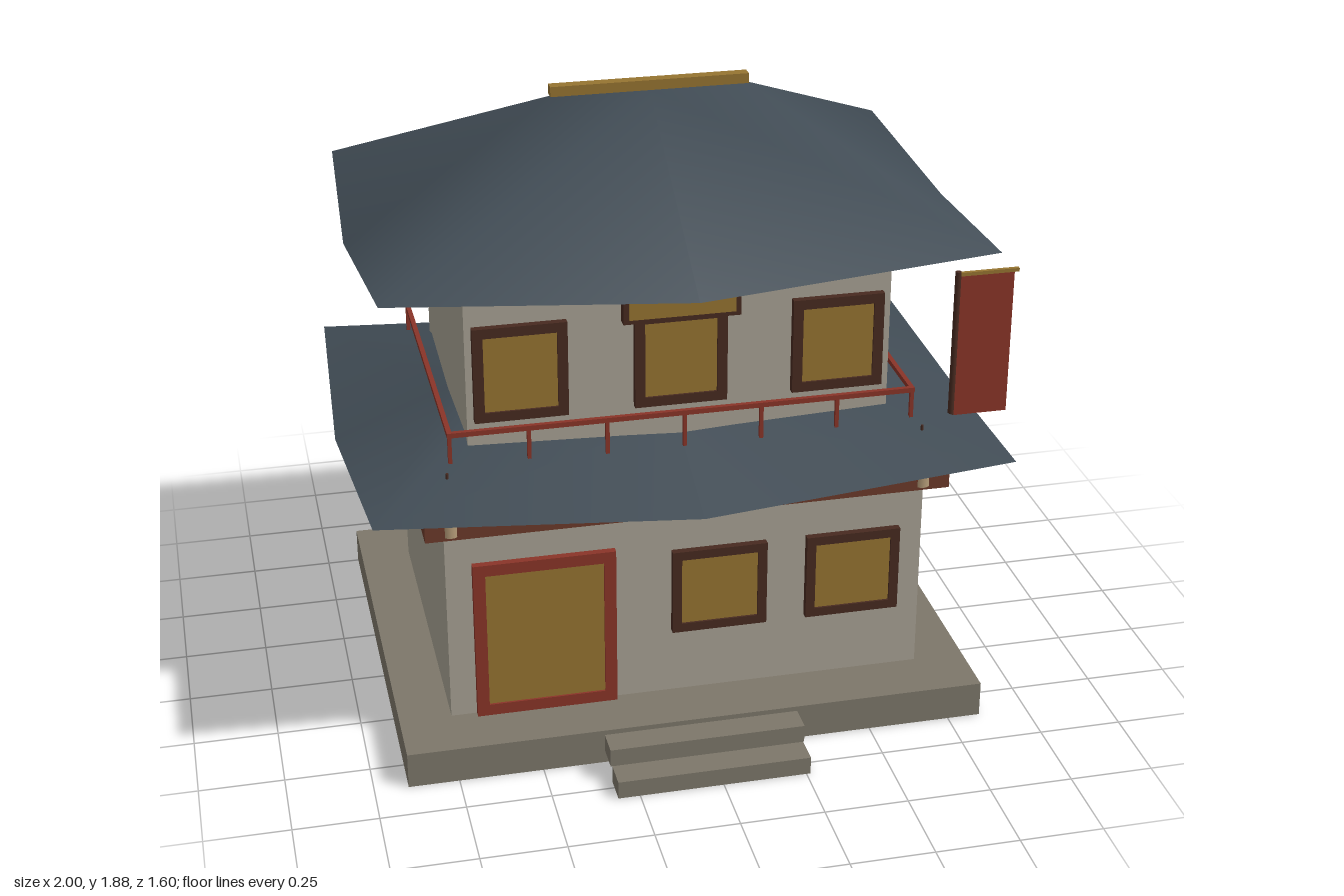
import * as THREE from 'three';
import { mergeVertices } from 'three/addons/utils/BufferGeometryUtils.js';

const CX = -0.027, CZ = -0.07; // centre of the house plan

const mat = (color, side = THREE.FrontSide) => new THREE.MeshStandardMaterial({ color, side });
const M = {
  wall: mat(0xa8a294), stone: mat(0x7d776a), beam: mat(0x6b3a2a), wood: mat(0x472a20),
  red: mat(0x8a3428), gold: mat(0x967431), tan: mat(0xb59c78),
  roof: mat(0x414c55, THREE.DoubleSide),
};

export function createModel() {
  const model = new THREE.Group();
  model.name = 'house';

  // Box given by its extents
  const box = (name, m, x0, x1, y0, y1, z0, z1, parent = model) => {
    const mesh = new THREE.Mesh(new THREE.BoxGeometry(x1 - x0, y1 - y0, z1 - z0), m);
    mesh.position.set((x0 + x1) / 2, (y0 + y1) / 2, (z0 + z1) / 2);
    mesh.name = name;
    parent.add(mesh);
    return mesh;
  };
  const cyl = (name, m, rTop, rBottom, x, y0, y1, z, parent = model) => {
    const mesh = new THREE.Mesh(new THREE.CylinderGeometry(rTop, rBottom, y1 - y0, 16), m);
    mesh.position.set(x, (y0 + y1) / 2, z);
    mesh.name = name;
    parent.add(mesh);
  };

  // Four bars around a recessed panel, standing on a front wall at z
  const framed = (name, m, x0, x1, y0, y1, z, w, depth = 0.022) => {
    const g = new THREE.Group();
    g.name = name;
    box('panel', M.gold, x0 + w, x1 - w, y0 + w, y1 - w, z - 0.005, z + depth * 0.7, g);
    for (const [a, b] of [[x0, x0 + w], [x1 - w, x1]]) box('frameSide', m, a, b, y0, y1, z - 0.005, z + depth, g);
    for (const [a, b] of [[y0, y0 + w], [y1 - w, y1]]) box('frameBar', m, x0 + w, x1 - w, a, b, z - 0.005, z + depth, g);
    model.add(g);
  };

  // Ring of corners and side middles around the plan centre
  const ring = (hx, hz, yCorner, yMid, bulgeX, bulgeZ) =>
    [[-1, 1], [0, 1], [1, 1], [1, 0], [1, -1], [0, -1], [-1, -1], [-1, 0]].map(([sx, sz]) => [
      CX + sx * (hx + (sz === 0 ? bulgeX : 0)),
      sx && sz ? yCorner : yMid,
      CZ + sz * (hz + (sx === 0 ? bulgeZ : 0)),
    ]);

  // Thin hipped roof skin whose eave lifts at the corners
  const roof = (name, eave, top) => {
    const pos = [];
    for (let i = 0; i < 8; i++) {
      const j = (i + 1) % 8, a = eave[i], b = eave[j], c = top[j], d = top[i];
      // the diagonal always starts at the eave corner
      const tris = i % 2 === 0 ? [a, b, c, a, c, d] : [a, b, d, b, c, d];
      for (let k = 0; k < 6; k += 3) {
        const t = tris.slice(k, k + 3).map((p) => new THREE.Vector3(...p));
        if (new THREE.Triangle(...t).getArea() > 1e-6) t.forEach((v) => pos.push(v.x, v.y, v.z));
      }
    }
    let geo = new THREE.BufferGeometry();
    geo.setAttribute('position', new THREE.Float32BufferAttribute(pos, 3));
    geo = mergeVertices(geo);
    geo.computeVertexNormals();
    const mesh = new THREE.Mesh(geo, M.roof);
    mesh.name = name;
    model.add(mesh);
  };

  // Plinth and steps
  box('plinth', M.stone, -0.9, 0.85, 0, 0.11, -0.755, 0.615);
  box('lowerStep', M.stone, -0.315, 0.262, 0, 0.055, 0.72, 0.805);
  box('upperStep', M.stone, -0.32, 0.265, 0.055, 0.11, 0.637, 0.72);

  // Storeys and the beam between them
  box('lowerWalls', M.wall, -0.745, 0.695, 0.11, 0.74, -0.578, 0.437);
  box('beam', M.beam, -0.805, 0.755, 0.735, 0.8, -0.635, 0.495);
  box('upperWalls', M.wall, -0.652, 0.6, 0.8, 1.44, -0.477, 0.34);

  // Roofs and ridge
  roof('lowerRoof', ring(0.935, 0.7, 0.87, 0.808, 0.037, 0.028), ring(0.62, 0.35, 0.972, 0.948, 0, 0));
  roof('upperRoof', ring(0.88, 0.623, 1.5, 1.44, 0.032, 0.024), ring(0.293, 0, 1.845, 1.845, 0, 0));
  box('ridge', M.gold, -0.322, 0.268, 1.845, 1.875, -0.09, -0.055);

  // Door and windows
  framed('door', M.red, -0.668, -0.245, 0.11, 0.62, 0.437, 0.036);
  for (const x of [-0.075, 0.335]) framed('lowerWindow', M.wood, x, x + 0.288, 0.32, 0.592, 0.437, 0.028);
  for (const x of [-0.632, -0.165, 0.303]) framed('upperWindow', M.wood, x, x + 0.273, 1.03, 1.322, 0.34, 0.03);

  // Name board, left blank
  box('signBoard', M.wood, -0.2, 0.144, 1.3, 1.438, 0.335, 0.372);
  box('signPanel', M.gold, -0.184, 0.128, 1.315, 1.42, 0.365, 0.379);

  // Post heads under the lower eave
  for (const x of [-0.73, 0.675]) {
    cyl('postHead', M.tan, 0.044, 0.044, x, 0.8, 0.85, 0.459);
    cyl('postNeck', M.tan, 0.026, 0.026, x, 0.745, 0.8, 0.476);
    cyl('postPin', M.wood, 0.004, 0.006, x, 0.85, 0.932, 0.459);
  }

  // Balcony railing
  const railing = new THREE.Group();
  railing.name = 'railing';
  model.add(railing);
  const [x0, x1, z0, z1, r] = [-0.712, 0.658, -0.54, 0.4, 0.007];
  for (const z of [z0, z1]) {
    box('rail', M.red, x0 - r, x1 + r, 1.015, 1.03, z - r, z + r, railing);
    for (let i = 0; i <= 6; i++) {
      const x = x0 + ((x1 - x0) * i) / 6;
      box('railPost', M.red, x - r * 0.8, x + r * 0.8, 0.915, 1.016, z - r * 0.8, z + r * 0.8, railing);
    }
  }
  for (const x of [x0, x1]) box('sideRail', M.red, x - r, x + r, 1.015, 1.03, z0 + r, z1 - r, railing);

  // Hanging banner
  cyl('bannerPole', M.wood, 0.009, 0.009, 0.812, 0.808, 1.35, 0.32);
  box('bannerCloth', M.red, 0.82, 0.986, 0.882, 1.336, 0.314, 0.322);
  box('bannerRod', M.gold, 0.812, 1.0, 1.335, 1.346, 0.312, 0.324);

  return model;
}
